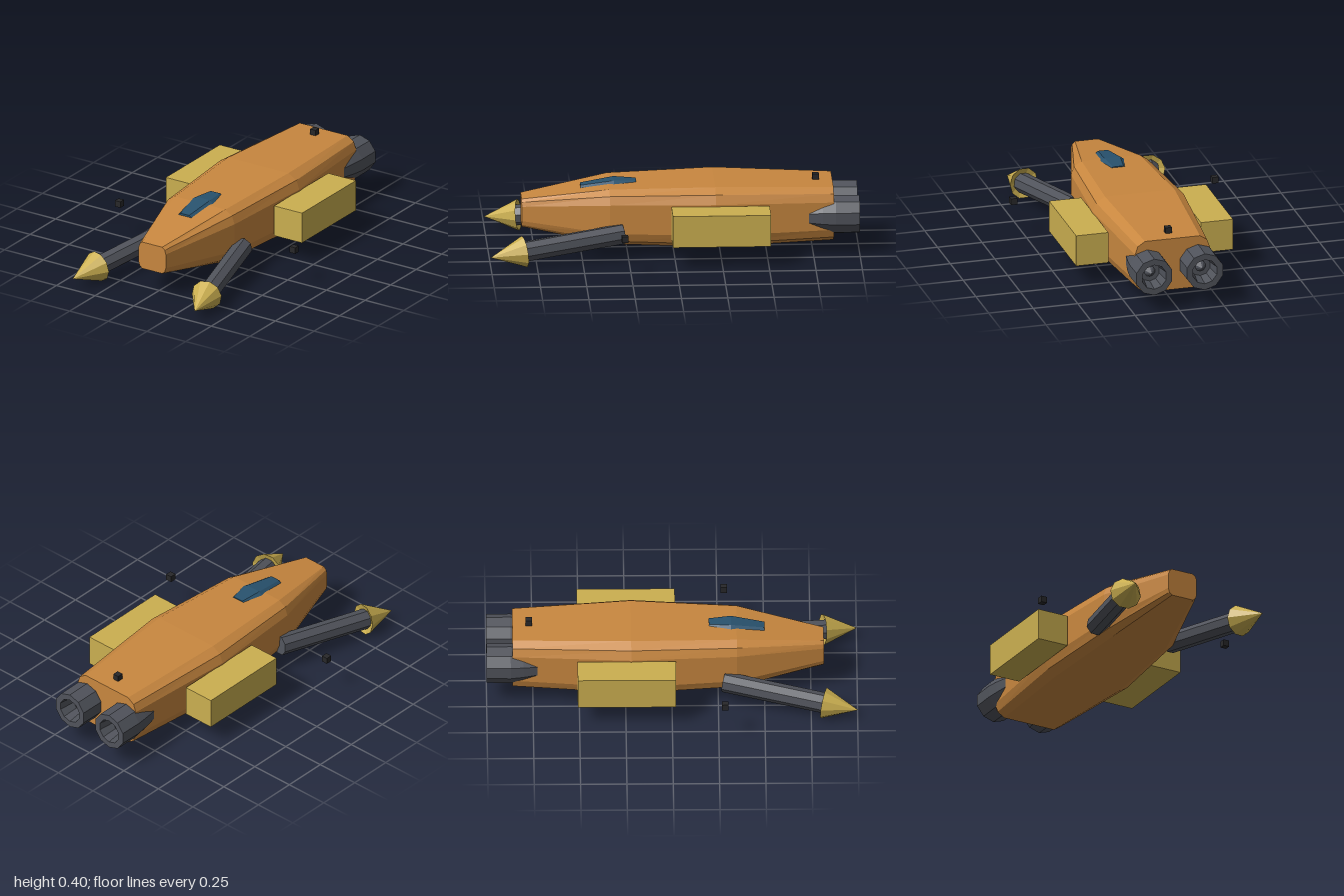
import * as THREE from 'three';

const paint = (name, color) => {
  const m = new THREE.MeshStandardMaterial({ color });
  m.name = name;
  return m;
};

// Faceted normals
const facet = (g) => {
  const f = g.index ? g.toNonIndexed() : g;
  f.computeVertexNormals();
  return f;
};

// Closed loft along z. Sections run front to back as [z, halfWidth, top, bottom];
// the half profile [x, y] runs from top to bottom in the range 0..1 and 1..-1.
function loft(profile, sections) {
  const ring = [...profile, ...profile.map(([x, y]) => [-x, y]).reverse()];
  const n = ring.length;
  const pos = [];
  const idx = [];
  for (const [z, w, top, bottom] of sections) {
    for (const [x, y] of ring) {
      pos.push(x * w, (top + bottom) / 2 + (y * (top - bottom)) / 2, z);
    }
  }
  for (let s = 0; s < sections.length - 1; s++) {
    for (let i = 0; i < n; i++) {
      const a = s * n + i;
      const b = s * n + ((i + 1) % n);
      idx.push(a, b, a + n, b, b + n, a + n);
    }
  }
  const last = (sections.length - 1) * n;
  for (let i = 1; i < n - 1; i++) {
    idx.push(0, i + 1, i, last, last + i, last + i + 1);
  }
  const g = new THREE.BufferGeometry();
  g.setAttribute('position', new THREE.Float32BufferAttribute(pos, 3));
  g.setIndex(idx);
  return facet(g);
}

const turned = (points, sides) =>
  facet(new THREE.LatheGeometry(points.map(([r, y]) => new THREE.Vector2(r, y)), sides));

export function createModel() {
  const model = new THREE.Group();
  model.name = 'spacecraft';

  const orange = paint('orange hull', 0xc8873f);
  const yellow = paint('yellow', 0xcbaf50);
  const grey = paint('dark grey metal', 0x50535b);
  const blue = paint('blue glass', 0x28526e);
  const black = paint('black', 0x28282a);

  const add = (name, geometry, material, x = 0, y = 0, z = 0, parent = model) => {
    const mesh = new THREE.Mesh(geometry, material);
    mesh.name = name;
    mesh.position.set(x, y, z);
    parent.add(mesh);
    return mesh;
  };

  // Hull with bevelled corners
  const hullProfile = [[0.735, 1], [0.925, 0.82], [1, 0.52], [1, -0.52], [0.925, -0.82], [0.735, -1]];
  add('hull', loft(hullProfile, [
    [0.82, 0.088, 0.3, 0.145],
    [0.35, 0.222, 0.375, 0.07],
    [-0.22, 0.265, 0.39, 0.055],
    [-0.86, 0.21, 0.37, 0.075],
  ]), orange);

  // Canopy
  add('canopy', loft([[0.65, 1], [1, 0.2], [1, -1]], [
    [0.5, 0.042, 0.362, 0.335],
    [0.32, 0.068, 0.39, 0.35],
    [0.2, 0.046, 0.384, 0.355],
  ]), blue);

  // Parts repeated on both sides
  const engine = turned([
    [0, 0.68], [0.075, 0.68], [0.098, 0.8], [0.107, 0.87], [0.105, 1],
    [0.07, 1], [0.056, 0.91], [0.03, 0.91], [0, 0.95],
  ], 10);
  engine.rotateX(-Math.PI / 2);
  const shaft = turned([[0, 0], [0.056, 0], [0.056, 0.6], [0, 0.6]], 8);
  const tip = turned([[0.045, 0.572], [0.086, 0.555], [0, 0.745]], 10);
  const pod = new THREE.BoxGeometry(0.18, 0.175, 0.53);
  const cube = new THREE.BoxGeometry(0.035, 0.035, 0.035);

  for (const [side, s] of [['left', 1], ['right', -1]]) {
    add(`${side}Engine`, engine, grey, s * 0.142, 0.215, 0);
    add(`${side}Pod`, pod, yellow, s * 0.35, 0.2125, -0.245);
    add(`${side}MarkerCube`, cube, black, s * 0.565, 0.215, 0.285);

    // Splayed arm with pointed head
    const arm = new THREE.Group();
    arm.name = `${side}Arm`;
    arm.position.set(s * 0.228, 0.145, 0.28);
    arm.quaternion.setFromUnitVectors(
      new THREE.Vector3(0, 1, 0),
      new THREE.Vector3(s * 0.23, -0.105, 1).normalize(),
    );
    add(`${side}ArmShaft`, shaft, grey, 0, 0, 0, arm);
    add(`${side}ArmTip`, tip, yellow, 0, 0, 0, arm);
    model.add(arm);
  }

  // Cube on the rear deck
  add('topMarkerCube', cube, black, 0, 0.388, -0.77);

  return model;
}
